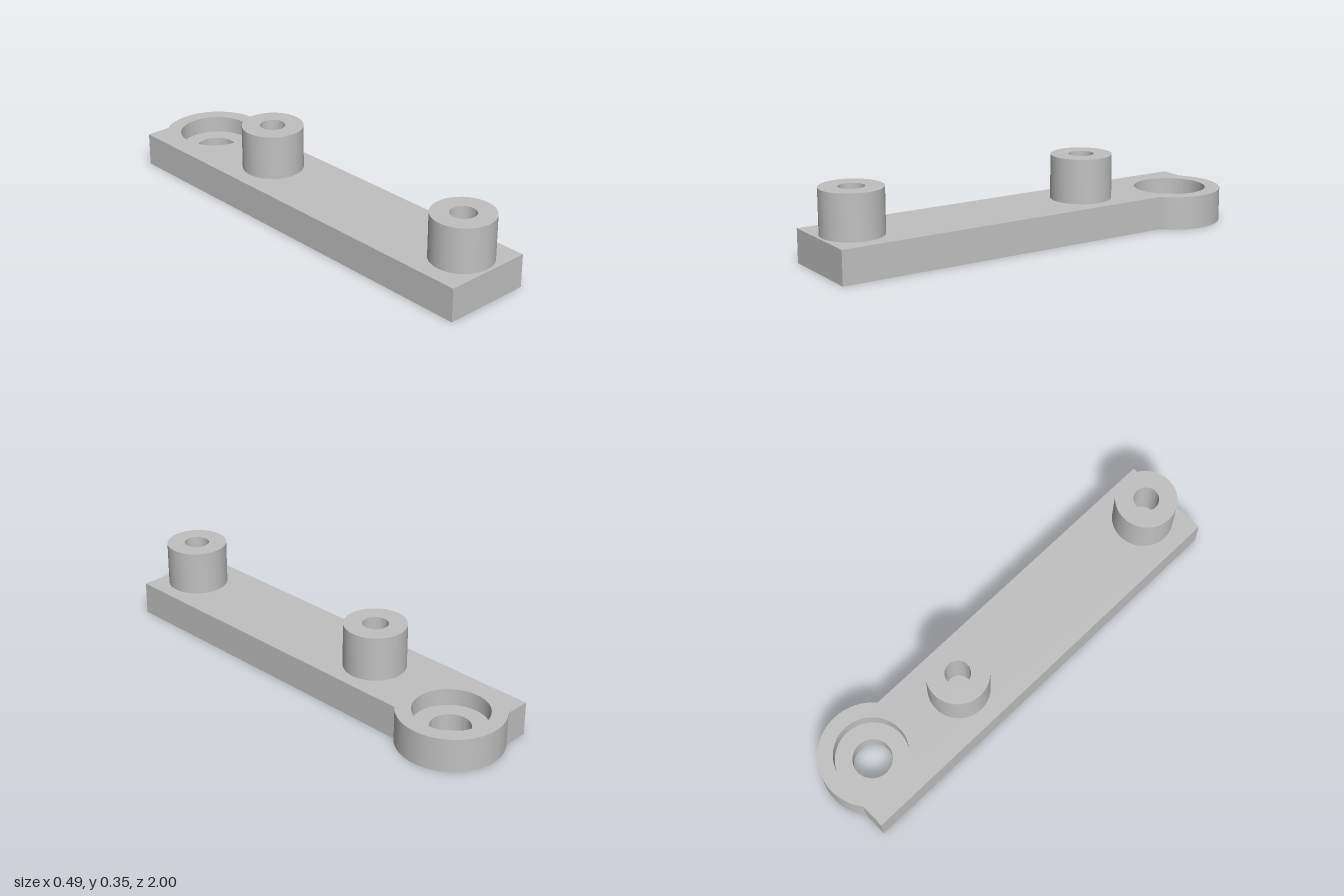
import * as THREE from 'three';
import { toCreasedNormals } from 'three/addons/utils/BufferGeometryUtils.js';

const SEGMENTS = 64;
const THICKNESS = 0.15;
const BAR = { left: -0.244, right: 0.162, back: -0.95, front: 1 };
const EYE = { x: 0.013, z: -0.77, outer: 0.23, bore: 0.163, hole: 0.087, shelf: 0.075 };
const BOSS = { x: -0.036, outer: 0.137, hole: 0.056, top: 0.35, z: [-0.298, 0.85] };

export function createModel() {
  const group = new THREE.Group();
  const grey = new THREE.MeshStandardMaterial({ color: 0xc0c0c0 });
  grey.name = 'plain grey';

  const add = (name, geometry, x = 0, z = 0) => {
    const mesh = new THREE.Mesh(toCreasedNormals(geometry, 0.6), grey);
    mesh.name = name;
    mesh.position.set(x, 0, z);
    group.add(mesh);
  };
  const turned = (points) =>
    new THREE.LatheGeometry(points.map(([r, y]) => new THREE.Vector2(r, y)), SEGMENTS);

  // Bar with the round eye blended into its back corner (shape y is -z)
  const dx = BAR.right - EYE.x;
  const startAngle = -Math.acos(dx / EYE.outer);
  const endAngle = Math.PI - Math.asin((EYE.z - BAR.back) / EYE.outer);
  const outline = new THREE.Shape();
  outline.moveTo(BAR.left, -BAR.front);
  outline.lineTo(BAR.right, -BAR.front);
  outline.absarc(EYE.x, -EYE.z, EYE.outer, startAngle, endAngle, false);
  outline.lineTo(BAR.left, -BAR.back);
  outline.closePath();
  const bore = new THREE.Path();
  bore.absarc(EYE.x, -EYE.z, EYE.bore, 0, Math.PI * 2, true);
  outline.holes.push(bore);
  const bar = new THREE.ExtrudeGeometry(outline, {
    depth: THICKNESS, bevelEnabled: false, curveSegments: SEGMENTS,
  });
  bar.rotateX(-Math.PI / 2);
  add('bar', bar);

  // Stepped shelf with a through hole at the bottom of the bore
  add('boreShelf', turned([
    [EYE.bore, EYE.shelf], [EYE.hole, EYE.shelf], [EYE.hole, 0], [EYE.bore, 0],
  ]), EYE.x, EYE.z);

  // Hollow bosses standing on the bar
  BOSS.z.forEach((z, i) => add(i ? 'frontBoss' : 'middleBoss', turned([
    [BOSS.outer, THICKNESS], [BOSS.outer, BOSS.top],
    [BOSS.hole, BOSS.top], [BOSS.hole, THICKNESS],
  ]), BOSS.x, z));

  return group;
}
